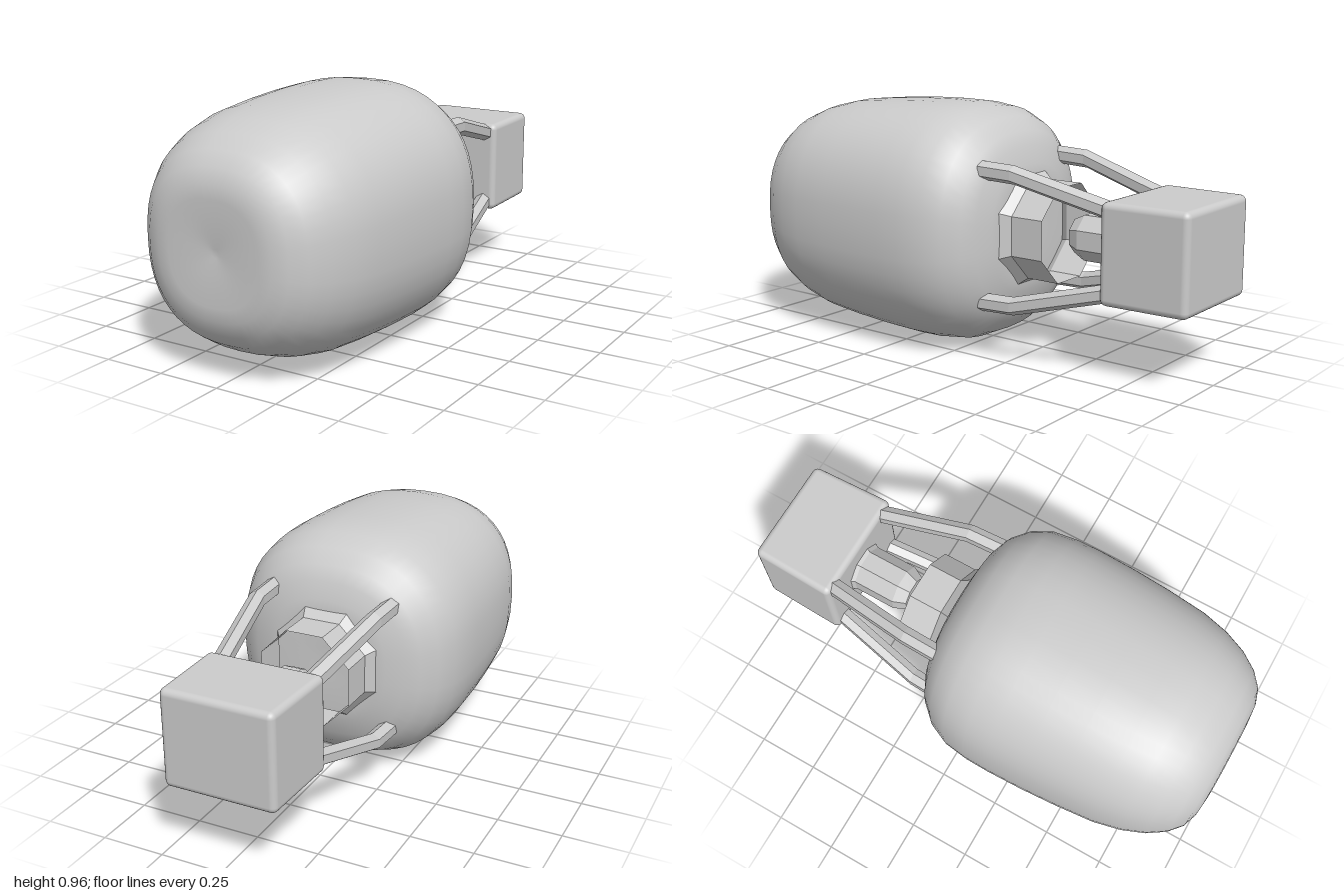
import * as THREE from 'three';
import { RoundedBoxGeometry } from 'three/addons/geometries/RoundedBoxGeometry.js';

const CY = 0.478; // height of the long axis

// Loft along z. Rings run from back to front: [z, rx, ry, cx, cy].
// power 2 gives an ellipse, more gives a squarer section.
function loft(rings, sides, { power = 2, turn = 0, caps = true } = {}) {
  const pos = [], idx = [];
  const bend = (v) => Math.sign(v) * Math.pow(Math.abs(v), 2 / power);
  for (const [z, rx, ry, cx = 0, cy = 0] of rings) {
    for (let j = 0; j < sides; j++) {
      const a = (j / sides) * Math.PI * 2 + turn;
      pos.push(cx + rx * bend(Math.cos(a)), cy + ry * bend(Math.sin(a)), z);
    }
  }
  const last = (rings.length - 1) * sides;
  for (let i = 0; i < last; i += sides) {
    for (let j = 0; j < sides; j++) {
      const k = (j + 1) % sides;
      idx.push(i + j, i + k, i + sides + k, i + j, i + sides + k, i + sides + j);
    }
  }
  if (caps) {
    const c = pos.length / 3;
    for (const [z, , , cx = 0, cy = 0] of [rings[0], rings[rings.length - 1]]) pos.push(cx, cy, z);
    for (let j = 0; j < sides; j++) {
      const k = (j + 1) % sides;
      idx.push(c, k, j, c + 1, last + j, last + k);
    }
  }
  const g = new THREE.BufferGeometry();
  g.setAttribute('position', new THREE.Float32BufferAttribute(pos, 3));
  g.setIndex(idx);
  g.computeVertexNormals();
  return g;
}

export function createModel() {
  const model = new THREE.Group();
  model.name = 'hotAirBalloon';
  const smooth = new THREE.MeshStandardMaterial({ color: 0xcccccc });
  const faceted = new THREE.MeshStandardMaterial({ color: 0xcccccc, flatShading: true });
  const open = new THREE.MeshStandardMaterial({ color: 0xcccccc, flatShading: true, side: THREE.DoubleSide });

  const add = (name, geometry, material, z = 0) => {
    const mesh = new THREE.Mesh(geometry, material);
    mesh.name = name;
    mesh.position.set(0, CY, z);
    model.add(mesh);
  };

  // Envelope: soft squarish body, with a shallow dimple in the crown
  const profile = [
    [-0.19, 0.06], [-0.195, 0.2], [-0.185, 0.25], [-0.165, 0.32], [-0.135, 0.375],
    [-0.08, 0.427], [0, 0.463], [0.1, 0.476], [0.2, 0.478], [0.35, 0.474],
    [0.5, 0.465], [0.66, 0.45], [0.77, 0.425], [0.86, 0.39], [0.93, 0.345],
    [0.975, 0.295], [0.995, 0.24], [1, 0.19], [0.993, 0.08], [0.985, 0.015],
  ];
  add('envelope', loft(profile.map(([z, r]) => [z, r, r]), 48, { power: 2.4 }), smooth);

  // Mouth skirt: open eight-sided collar, flared where it meets the envelope
  const skirt = [[-0.37, 0.2, 0.2], [-0.23, 0.2, 0.2], [-0.185, 0.235, 0.235]];
  add('mouthSkirt', loft(skirt, 8, { turn: Math.PI / 8, caps: false }), open);

  // Burner: eight-sided block with a tapered nozzle and a small foot
  const burner = [
    [-0.66, 0.11, 0.11], [-0.635, 0.095, 0.095], [-0.46, 0.095, 0.095], [-0.41, 0.07, 0.07],
  ];
  add('burner', loft(burner, 8, { turn: Math.PI / 8 }), faceted);

  // Basket: rounded block, slightly narrower at its bottom
  const basket = new RoundedBoxGeometry(0.47, 0.38, 0.35, 3, 0.025);
  const p = basket.attributes.position;
  for (let i = 0; i < p.count; i++) {
    const t = p.getZ(i) / 0.35 + 0.5;
    p.setX(i, p.getX(i) * (0.945 + 0.055 * t));
  }
  add('basket', basket, smooth, -0.825);

  // Suspension struts: four bent bars from basket corners to envelope
  for (const sx of [-1, 1]) {
    for (const sy of [-1, 1]) {
      const path = [
        [-0.67, 0.18, 0.15], [-0.285, 0.245, 0.25], [-0.14, 0.25, 0.255],
      ];
      const rings = path.map(([z, x, y]) => [z, 0.036, 0.036, sx * x, sy * y]);
      add(`strut${sy > 0 ? 'Upper' : 'Lower'}${sx > 0 ? 'Left' : 'Right'}`,
        loft(rings, 6, { turn: Math.PI / 6 }), faceted);
    }
  }
  return model;
}
